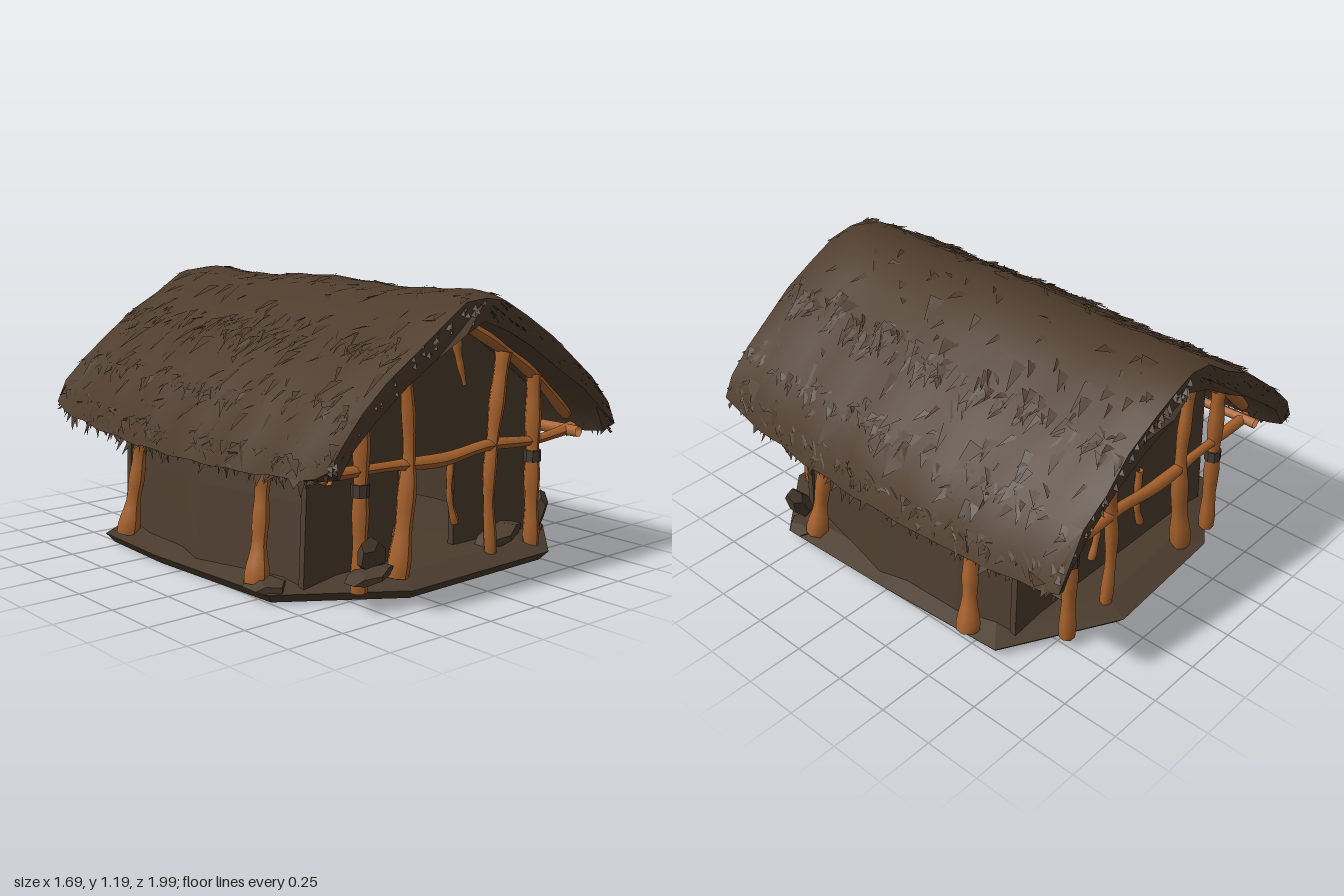
import * as THREE from 'three';
import { toCreasedNormals } from 'three/addons/utils/BufferGeometryUtils.js';

const mat = (name, color, flatShading = true) =>
  new THREE.MeshStandardMaterial({ name, color, flatShading, side: THREE.DoubleSide });

// Roof cross-section, ridge to eave
const OUTER = [[0, 1.19], [0.12, 1.17], [0.25, 1.09], [0.4, 1.0], [0.55, 0.89], [0.68, 0.787], [0.78, 0.665], [0.83, 0.56]];
const INNER = [[0, 1.1], [0.13, 1.05], [0.28, 0.965], [0.45, 0.86], [0.6, 0.755], [0.71, 0.66], [0.78, 0.54]];

export function createModel() {
  const thatch = mat('thatch brown', 0x4e3c2c, false);
  const straw = mat('straw brown', 0x4b3a2a);
  const mud = mat('mud brown', 0x4d3d2f);
  const earth = mat('earth brown', 0x4a3b2d);
  const wood = mat('orange wood', 0xa8622c, false);
  const rope = mat('dark rope', 0x453a32);

  let seed = 7;
  const rnd = (a = 0, b = 1) => {
    seed = (seed * 16807) % 2147483647;
    return a + (b - a) * (seed / 2147483647);
  };
  const model = new THREE.Group();
  const add = (name, geo, material) => {
    const m = new THREE.Mesh(geo, material);
    m.name = name;
    model.add(m);
    return m;
  };
  const meshFrom = (pos) => {
    const g = new THREE.BufferGeometry();
    g.setAttribute('position', new THREE.Float32BufferAttribute(pos, 3));
    g.computeVertexNormals();
    return g;
  };

  // Sagging and swelling of the roof along its length, with rounded ends
  const warp = (x, y, z) => {
    const mid = 1 - z * z, e = Math.abs(x) / 0.83, end = Math.max(0, (Math.abs(z) - 0.87) / 0.11);
    return new THREE.Vector3(
      x * (0.945 + 0.055 * mid + 0.006 * Math.sin(z * 19)),
      y - 0.055 * e ** 5 * mid - 0.01 * (1 - Math.cos(z * 6.5)) * (1 - e)
        - 0.035 * end * (1 - e) + 0.03 * end * e ** 6 + 0.005 * Math.sin(z * 23 + x * 17),
      z);
  };
  const roofPoint = (s, z) => { // s from -1 (eave) through 0 (ridge) to 1
    const f = Math.min(Math.abs(s), 0.9999) * (OUTER.length - 1), i = Math.floor(f), k = f - i;
    const x = OUTER[i][0] + (OUTER[i + 1][0] - OUTER[i][0]) * k;
    return warp(x * Math.sign(s), OUTER[i][1] + (OUTER[i + 1][1] - OUTER[i][1]) * k, z);
  };

  // Thatched roof: closed profile lofted from back to front
  const flip = ([x, y]) => [-x, y];
  const profile = [...[...OUTER].reverse(), ...OUTER.slice(1).map(flip), ...[...INNER].reverse().map(flip), ...INNER.slice(1)];
  const n = profile.length, steps = 24, roofPos = [];
  const rings = [];
  for (let i = 0; i <= steps; i++) {
    const z = -0.97 + 1.94 * i / steps, end = i === 0 || i === steps;
    rings.push(profile.map(([x, y]) => {
      const p = warp(x, y, z);
      if (end) p.z += rnd(-0.015, 0.015);
      return p;
    }));
  }
  const tri = (...ps) => ps.forEach((p) => roofPos.push(p.x, p.y, p.z));
  for (let i = 0; i < steps; i++) {
    for (let j = 0; j < n; j++) {
      const k = (j + 1) % n, a = rings[i][j], b = rings[i][k], c = rings[i + 1][j], d = rings[i + 1][k];
      tri(a, b, c);
      tri(b, d, c);
    }
  }
  const capFaces = THREE.ShapeUtils.triangulateShape(profile.map(([x, y]) => new THREE.Vector2(x, y)), []);
  for (const [a, b, c] of capFaces) {
    tri(rings[steps][a], rings[steps][b], rings[steps][c]);
    tri(rings[0][a], rings[0][c], rings[0][b]);
  }
  add('thatchedRoof', toCreasedNormals(meshFrom(roofPos), 0.6), thatch);

  // Loose straw flakes lying on the slopes, denser along the courses
  const flakes = [];
  const flake = (p, tip, w) => flakes.push(p.x + rnd(-0.01, 0.01), p.y, p.z - w, p.x, p.y + rnd(0, 0.01), p.z + w, tip.x, tip.y, tip.z);
  for (let i = 0; i < 900; i++) {
    const course = [0.42, 0.7, 0.45, 0.9][i % 4], big = i % 9 === 0;
    const s = (i % 3 ? course + rnd(-0.04, 0.04) : rnd(0.05, 0.95)) * (rnd() < 0.5 ? -1 : 1);
    const z = rnd(-0.94, 0.94), len = big ? rnd(0.07, 0.13) : rnd(0.03, 0.08);
    const p = roofPoint(s, z), tip = roofPoint(s + Math.sign(s) * len, THREE.MathUtils.clamp(z + rnd(-0.05, 0.05), -0.97, 0.97));
    tip.y += rnd(0.005, 0.022);
    flake(p, tip, big ? rnd(0.02, 0.045) : rnd(0.008, 0.025));
  }
  add('strawFlakes', meshFrom(flakes.splice(0)), straw);

  // Ragged straw fringe along the eaves
  for (const side of [-1, 1]) {
    for (let i = 0; i < 280; i++) {
      const p = roofPoint(side * rnd(0.88, 1), rnd(-0.96, 0.96));
      p.x -= side * rnd(0, 0.04);
      flake(p, p.clone().add(new THREE.Vector3(side * rnd(-0.02, 0.035), -rnd(0.02, 0.07), rnd(-0.03, 0.03))), rnd(0.012, 0.03));
    }
  }
  add('eaveFringe', meshFrom(flakes.splice(0)), straw);

  // Short straw ends along both gable edges
  for (const end of [-1, 1]) {
    for (let i = 0; i < 130; i++) {
      const p = roofPoint(rnd(-0.93, 0.93), end * 0.955);
      const side = Math.sign(p.x), drop = rnd(0, 0.06);
      flakes.push(p.x, p.y - drop, p.z, p.x + side * 0.03, p.y - drop - 0.03, p.z,
        p.x + side * rnd(0.01, 0.03), p.y - drop - rnd(0.02, 0.05), p.z + end * rnd(0.01, 0.04));
    }
  }
  add('gableFringe', meshFrom(flakes), straw);

  // Earth platform: sloping rim around a slightly raised floor (rings of scale, height)
  const outline = [[0.78, 0], [0.8, 0.58], [0.5, 0.87], [-0.3, 0.89], [-0.76, 0.58], [-0.8, -0.15], [-0.78, -0.57], [-0.38, -0.85], [0.25, -0.89], [0.74, -0.62]];
  const tiers = [[0, 0.005], [0.97, 0.005], [1.01, 0.045], [0.88, 0.08], [0, 0.095]], ground = [];
  for (let t = 0; t < tiers.length - 1; t++) {
    outline.forEach(([x, z], i) => {
      const [x2, z2] = outline[(i + 1) % outline.length], [s0, y0] = tiers[t], [s1, y1] = tiers[t + 1];
      ground.push(x * s0, y0, z * s0, x2 * s1, y1, z2 * s1, x * s1, y1, z * s1);
      ground.push(x * s0, y0, z * s0, x2 * s0, y0, z2 * s0, x2 * s1, y1, z2 * s1);
    });
  }
  for (let i = 0; i < ground.length; i += 9) { // outward-facing corner order
    for (let c = 0; c < 3; c++) [ground[i + 3 + c], ground[i + 6 + c]] = [ground[i + 6 + c], ground[i + 3 + c]];
  }
  add('platform', meshFrom(ground), earth);

  // Gable walls, the front one with a doorway
  const points = (list) => list.map((p) => new THREE.Vector2(...p));
  const gable = (door) => {
    const s = new THREE.Shape(points([[-0.64, 0.05], [0.64, 0.05], [0.61, 0.75], [0.45, 0.87], [0.28, 0.975], [0, 1.11],
      [-0.28, 0.975], [-0.45, 0.87], [-0.61, 0.75]]));
    if (door) s.holes.push(new THREE.Path(points([[-0.16, 0.08], [-0.15, 0.48], [0.17, 0.49], [0.17, 0.08]])));
    return new THREE.ExtrudeGeometry(s, { depth: 0.03, bevelEnabled: false });
  };
  add('frontWall', gable(true), mud).position.z = 0.61;
  add('backWall', gable(false), mud).position.z = -0.64;

  // Bulging side walls
  for (const side of [-1, 1]) {
    const plan = [[0.63, 0.63], [0.69, 0.34], [0.74, 0.06], [0.71, -0.08], [0.7, -0.36], [0.63, -0.63]], pos = [];
    const heights = [[0.05, 1], [0.38, 0.96], [0.72, 0.9]];
    const at = (i, j) => [side * plan[i][0] * heights[j][1], heights[j][0], plan[i][1]];
    for (let i = 0; i < plan.length - 1; i++) {
      for (let j = 0; j < 2; j++) {
        const a = at(i, j), b = at(i + 1, j), c = at(i + 1, j + 1), d = at(i, j + 1);
        pos.push(...(side > 0 ? [a, b, c, a, c, d] : [a, c, b, a, d, c]).flat());
      }
    }
    add('sideWall', meshFrom(pos), mud);
  }

  // Crooked poles: each point is x, y, z, radius
  const pole = (name, pts) => {
    const curve = new THREE.CatmullRomCurve3(pts.map(([x, y, z]) => new THREE.Vector3(x, y, z)));
    const segs = pts.length * 4, g = new THREE.TubeGeometry(curve, segs, 1, 7);
    const p = g.attributes.position, v = new THREE.Vector3();
    for (let i = 0; i < p.count; i++) {
      const u = g.attributes.uv.getX(i), c = curve.getPointAt(u);
      const f = Math.min(u, 0.9999) * (pts.length - 1), k = Math.floor(f);
      const r = THREE.MathUtils.lerp(pts[k][3], pts[k + 1][3], f - k) * (1 + 0.12 * Math.sin(u * 19));
      v.fromBufferAttribute(p, i).sub(c).multiplyScalar(r).add(c);
      p.setXYZ(i, v.x, v.y, v.z);
    }
    g.computeVertexNormals();
    return add(name, g, wood);
  };

  for (const e of [1, -1]) { // front and back
    const z = 0.79 * e;
    pole('innerPost', [[-0.29, 0.07, z, 0.045], [-0.25, 0.35, z, 0.038], [-0.235, 0.6, z, 0.026], [-0.26, 0.91, z, 0.03]]);
    pole('innerPost', [[0.24, 0.07, z, 0.026], [0.22, 0.35, z, 0.026], [0.25, 0.65, z, 0.03], [0.29, 0.91, z, 0.036]]);
    for (const s of [1, -1]) {
      pole('outerPost', [[0.49 * s, 0.05, z, 0.034], [0.485 * s, 0.4, z, 0.032], [0.48 * s, 0.8, z, 0.034]]);
      const band = add('ropeBinding', new THREE.CylinderGeometry(0.037, 0.037, 0.05, 8), rope);
      band.position.set(0.485 * s, 0.45, z);
      pole('sidePost', [[0.74 * s, 0.06, 0.47 * e, 0.05], [0.7 * s, 0.3, 0.45 * e, 0.032], [0.68 * s, 0.48, 0.44 * e, 0.034], [0.67 * s, 0.65, 0.45 * e, 0.055]]);
      pole('gableRafter', [[0.7 * s, 0.6, z, 0.024], [0.49 * s, 0.785, z, 0.024], [0.26 * s, 0.935, z, 0.024], [0, 1.07, z, 0.026]]);
      pole('doorJamb', [[0.17 * s, 0.18, 0.65 * e, 0.018], [0.135 * s, 0.3, 0.65 * e, 0.014], [0.14 * s, 0.48, 0.65 * e, 0.018]]);
    }
    pole('crossBeam', [[-0.73, 0.53, z, 0.024], [-0.35, 0.52, z, 0.022], [-0.05, 0.505, z, 0.026], [0.2, 0.53, z, 0.028], [0.5, 0.515, z, 0.02], [0.74, 0.54, z, 0.028]]);
    pole('ridgeStub', [[0, 1.08, z, 0.028], [0.005, 0.95, z * 1.02, 0.018], [0.035, 0.8, z * 1.04, 0.008]]);
  }
  for (const s of [1, -1]) {
    pole('sideBeam', [[0.7 * s, 0.535, 0.86, 0.024], [0.69 * s, 0.535, 0.3, 0.024], [0.69 * s, 0.535, -0.3, 0.024], [0.7 * s, 0.535, -0.86, 0.024]]);
  }
  pole('ridgePole', [[0, 1.07, 0.84, 0.026], [0, 1.07, 0, 0.026], [0, 1.07, -0.84, 0.026]]);

  // Broken earth slabs around the platform: position, size, tilt
  const slabs = [
    [-0.47, 0.2, 0.84, 0.07, 0.08, 0.03, 0.4], [-0.5, 0.14, 0.86, 0.11, 0.025, 0.08, 0.2],
    [0.71, 0.13, 0.62, 0.05, 0.11, 0.05, -0.5], [0.73, 0.05, 0.55, 0.08, 0.02, 0.1, 0],
    [0.36, 0.11, 0.72, 0.13, 0.035, 0.08, 0.3], [-0.72, 0.06, 0.5, 0.08, 0.03, 0.12, 0.1],
  ];
  for (const [x, y, z, sx, sy, sz, tilt] of slabs) {
    const slab = add('earthSlab', new THREE.DodecahedronGeometry(1, 0), earth);
    slab.position.set(x, y, z);
    slab.scale.set(sx, sy, sz);
    slab.rotation.z = tilt;
  }
  return model;
}
